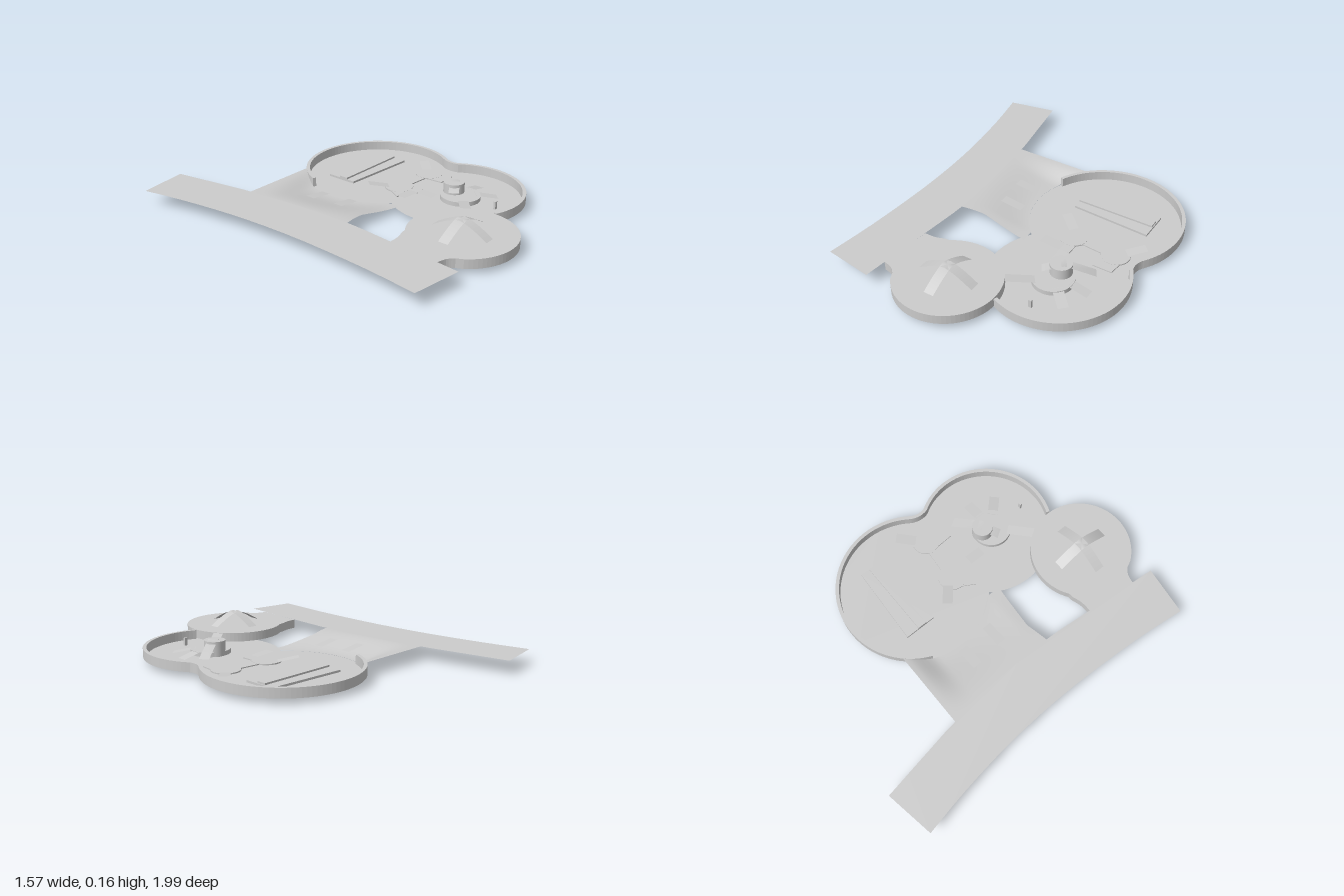
import * as THREE from 'three';

const TOP = 0.083, FLOOR = 0.03;
const mat = new THREE.MeshStandardMaterial({ color: 0xcccccc, side: THREE.DoubleSide });
const V2 = (x, z) => new THREE.Vector2(x, -z);
const smooth = (a, b, v) => THREE.MathUtils.smoothstep(v, a, b);

function add(group, name, geometry) {
  const m = new THREE.Mesh(geometry, mat);
  m.name = name;
  group.add(m);
  return m;
}

// plan arc, angles in degrees from +x towards +z
function arc(cx, cz, r, a0, a1, n = 40) {
  return Array.from({ length: n + 1 }, (_, i) => {
    const a = THREE.MathUtils.degToRad(a0 + (a1 - a0) * i / n);
    return V2(cx + r * Math.cos(a), cz + r * Math.sin(a));
  });
}

// plan curve through a few [x, z] points
const spline = (pts, n = 16) => new THREE.SplineCurve(pts.map(p => V2(...p))).getPoints(n);

// flat sheet at height y
function sheet(pts, y) {
  return new THREE.ShapeGeometry(new THREE.Shape(pts)).rotateX(-Math.PI / 2).translate(0, y, 0);
}

// upright prism between two heights
function prism(pts, y0, y1) {
  return new THREE.ExtrudeGeometry(new THREE.Shape(pts), { depth: y1 - y0, bevelEnabled: false })
    .rotateX(-Math.PI / 2).translate(0, y0, 0);
}

// thin strip of constant width following [x, y, z] points
function ribbon(pts, width) {
  const pos = [], idx = [];
  const a = pts[0], b = pts[pts.length - 1];
  const len = Math.hypot(b[0] - a[0], b[2] - a[2]);
  const nx = -(b[2] - a[2]) / len * width / 2, nz = (b[0] - a[0]) / len * width / 2;
  pts.forEach(([x, y, z], i) => {
    pos.push(x - nx, y, z - nz, x + nx, y, z + nz);
    if (i) { const k = 2 * i; idx.push(k - 2, k - 1, k, k - 1, k + 1, k); }
  });
  const g = new THREE.BufferGeometry();
  g.setAttribute('position', new THREE.Float32BufferAttribute(pos, 3));
  g.setIndex(idx);
  g.computeVertexNormals();
  return g;
}

// lower basin edge: two lobes joined by a waist
function basinEdge(inset) {
  const waist = new THREE.QuadraticBezierCurve(
    V2(0.701 - inset * 0.82, 0.064 - inset * 0.57), V2(0.668 - inset, 0.11),
    V2(0.683 - inset * 0.84, 0.16 + inset * 0.54));
  return [
    ...arc(0.345, -0.185, 0.435 - inset, -157, 35, 56),
    ...waist.getPoints(10).slice(1, -1),
    ...arc(0.36, 0.37, 0.385 - inset, -33, 114, 40),
  ];
}

export function createModel() {
  const model = new THREE.Group();
  model.name = 'landscape';

  // curved road
  const roadLeft = spline([[-0.79, -0.95], [-0.735, -0.66], [-0.69, -0.3], [-0.675, 0.1], [-0.695, 0.55], [-0.73, 0.88]]);
  const roadRight = spline([[-0.505, -1], [-0.45, -0.68], [-0.42, -0.49], [-0.385, -0.1], [-0.38, 0.19], [-0.405, 0.49], [-0.445, 0.92]], 24);
  add(model, 'road', sheet([...roadLeft, ...roadRight.reverse()], TOP));

  // sunken basin floor and its rim
  const outer = basinEdge(0);
  const floorEdge = [...outer, ...arc(0.36, 0.37, 0.385, 116, 216, 24), ...arc(0.345, -0.185, 0.435, 132, 202, 20)];
  add(model, 'basinFloor', sheet(floorEdge, FLOOR));
  add(model, 'basinRim', prism([...outer, ...basinEdge(0.02).reverse()], FLOOR, TOP));

  // smooth ramp from the road down to the basin
  const ramp = new THREE.PlaneGeometry(1, 1, 20, 28);
  const p = ramp.attributes.position;
  for (let i = 0; i < p.count; i++) {
    const u = p.getX(i) + 0.5, v = 0.5 - p.getY(i);
    const zEnd = u < 0.32 ? 0.19 - 0.078 * u : 0.165 + 0.05 * (u - 0.32);
    const z = -0.49 + (zEnd + 0.49) * v;
    const x0 = -0.42 + 0.04 * smooth(-0.5, 0.2, z);
    const x1 = z > 0.13 ? 0.04 : 0.345 - Math.sqrt(0.435 ** 2 - (z + 0.185) ** 2);
    const drop = (TOP - FLOOR - 0.001) * smooth(-0.49, -0.33, z) * smooth(0, 1, u);
    p.setXYZ(i, x0 + (x1 - x0) * u, TOP - drop, z);
  }
  ramp.computeVertexNormals();
  add(model, 'ramp', ramp);

  // two treads on the ramp
  [[-0.185, -0.195], [-0.165, -0.01]].forEach(([x, z]) =>
    add(model, 'rampTread', ribbon([[x - 0.065, 0.075, z], [x + 0.065, 0.058, z]], 0.055)));

  // round terrace with a flared neck to the road
  const terrace = [
    ...spline([[-0.405, 0.49], [-0.34, 0.487], [-0.285, 0.47]], 8),
    ...arc(-0.09, 0.705, 0.29, -125, 145, 60),
    ...spline([[-0.345, 0.835], [-0.38, 0.805], [-0.435, 0.79]], 8),
  ];
  add(model, 'terrace', prism(terrace, FLOOR, TOP - 0.001));

  // crossed arched strips on the terrace
  for (const [dx, dz] of [[1, 0], [0, 1]]) {
    const pts = Array.from({ length: 17 }, (_, i) => {
      const t = i / 8 - 1;
      return [-0.09 + dx * t * 0.165, TOP + 0.073 * (1 - Math.abs(t) ** 1.4), 0.7 + dz * t * 0.165];
    });
    add(model, 'archStrip', ribbon(pts, 0.058));
  }

  // low building with a raised ridge
  add(model, 'building', prism([V2(0.13, -0.39), V2(0.595, -0.365), V2(0.595, -0.18), V2(0.13, -0.205)], FLOOR, 0.042));
  add(model, 'buildingRidge', new THREE.BoxGeometry(0.46, 0.012, 0.055)).position.set(0.36, 0.046, -0.283);

  // main mound with a small drum on top
  add(model, 'mound', new THREE.CylinderGeometry(0.114, 0.114, 0.025, 40)).position.set(0.35, 0.043, 0.4);
  add(model, 'drum', new THREE.CylinderGeometry(0.06, 0.06, 0.085, 32)).position.set(0.365, 0.0725, 0.345);

  // sloping strips around the mound
  const strips = [
    [[0.28, 0.085, 0.4], [0.38, 0.12, 0.34], [0.52, 0.05, 0.25]],
    [[0.45, 0.056, 0.395], [0.56, 0.032, 0.395]],
    [[0.41, 0.056, 0.46], [0.5, 0.032, 0.55]],
    [[0.16, 0.08, 0.56], [0.28, 0.056, 0.465]],
  ];
  strips.forEach(s => add(model, 'moundStrip', ribbon(s, 0.058)));

  // two sunken drums joined by a low slab
  add(model, 'leftSunkenDrum', new THREE.CylinderGeometry(0.082, 0.082, 0.037, 32)).position.set(0.26, 0.0185, 0.035);
  add(model, 'rightSunkenDrum', new THREE.CylinderGeometry(0.08, 0.08, 0.027, 32)).position.set(0.53, 0.0235, 0.055);
  const slab = [[0.2, 0], [0.34, 0.01], [0.45, 0.02], [0.58, 0], [0.59, 0.06], [0.575, 0.19],
    [0.465, 0.19], [0.46, 0.08], [0.34, 0.07], [0.31, 0.1], [0.31, 0.17], [0.25, 0.17], [0.25, 0.115], [0.135, 0.115]];
  add(model, 'joiningSlab', prism(slab.map(q => V2(...q)), FLOOR, 0.036));
  const drumStrips = [
    [[0.14, 0.06, -0.095], [0.23, 0.037, -0.02]],
    [[0.13, 0.045, 0.145], [0.25, 0.037, 0.145]],
    [[0.28, 0.036, 0.16], [0.28, 0.032, 0.27]],
    [[0.57, 0.037, 0.01], [0.65, 0.05, -0.07]],
  ];
  drumStrips.forEach(s => add(model, 'drumStrip', ribbon(s, 0.058)));

  // small strip end showing under the basin
  add(model, 'underStrip', ribbon([[0.53, 0.029, 0.27], [0.53, 0.012, 0.22]], 0.055));

  // marker post
  add(model, 'markerPost', new THREE.BoxGeometry(0.018, 0.045, 0.012)).position.set(0.355, 0.0525, 0.625);

  return model;
}
